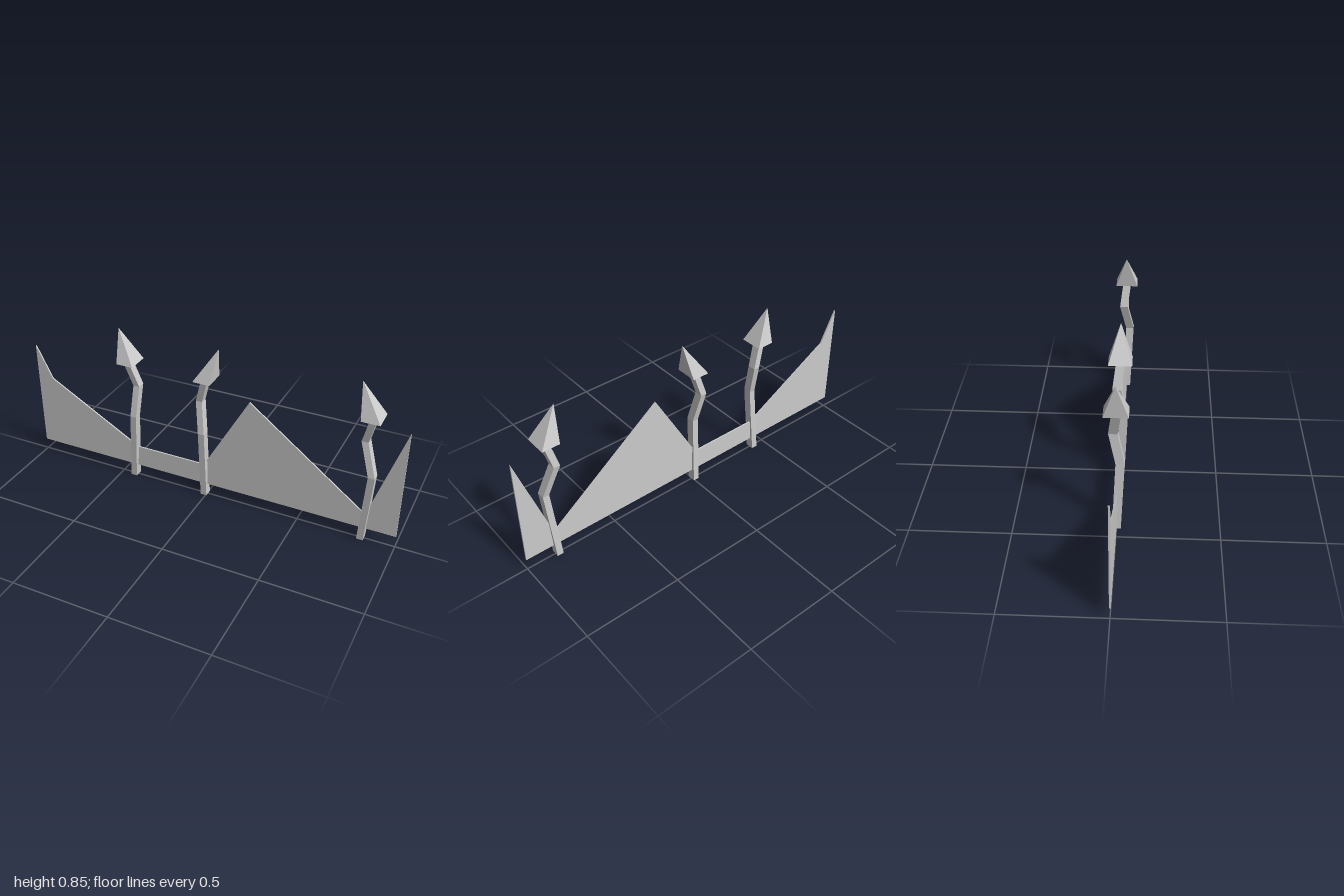
import * as THREE from 'three';

const material = new THREE.MeshStandardMaterial({ color: 0xcccccc, flatShading: true });

// Four-sided loft through sections [x, y, z, halfWidth, halfDepth]; a zero-width last section is a point
function loft(sections) {
  const corners = [[1, 1], [1, -1], [-1, -1], [-1, 1]];
  const positions = [], index = [];
  for (const [x, y, z, w, d] of sections) {
    for (const [sx, sz] of corners) positions.push(x + sx * w, y, z + sz * d);
  }
  const last = sections.length - 1;
  const pointed = sections[last][3] === 0;
  for (let i = 0; i < last; i++) {
    for (let k = 0; k < 4; k++) {
      const a = i * 4 + k, b = i * 4 + (k + 1) % 4;
      index.push(a, b, b + 4);
      if (!(pointed && i === last - 1)) index.push(a, b + 4, a + 4);
    }
  }
  index.push(0, 2, 1, 0, 3, 2);
  const t = last * 4;
  if (!pointed) index.push(t, t + 1, t + 2, t, t + 2, t + 3);
  const indexed = new THREE.BufferGeometry();
  indexed.setAttribute('position', new THREE.Float32BufferAttribute(positions, 3));
  indexed.setIndex(index);
  const geometry = indexed.toNonIndexed();
  geometry.computeVertexNormals();
  return geometry;
}

function addMesh(parent, name, geometry) {
  const mesh = new THREE.Mesh(geometry, material);
  mesh.name = name;
  parent.add(mesh);
}

// Crooked post with a leaning spear head; bends are x positions at the four shaft levels
function createPost(name, bends, headX, tipX) {
  const post = new THREE.Group();
  post.name = name;
  const heights = [0, 0.38, 0.547, 0.672];
  const sways = [0, 0.017, -0.016, 0];
  const w = 0.0165, d = 0.0215;
  addMesh(post, 'shaft', loft(bends.map((x, i) => [x, heights[i], sways[i], w, d])));
  addMesh(post, 'spearHead', loft([
    [bends[3], 0.67, 0, w, d],
    [headX, 0.68, 0, 0.045, 0.058],
    [tipX, 0.853, 0, 0, 0],
  ]));
  return post;
}

export function createModel() {
  const model = new THREE.Group();
  model.name = 'brokenFence';

  // Thin torn panel strung between the posts
  const outline = [
    [-1, 0.062], [1, 0.062], [1, 0.645], [0.838, 0.143], [0.225, 0.607],
    [-0.018, 0.178], [-0.405, 0.178], [-0.912, 0.467], [-1, 0.645],
  ];
  const shape = new THREE.Shape(outline.map(([x, y]) => new THREE.Vector2(x, y)));
  const panel = new THREE.ExtrudeGeometry(shape, { depth: 0.008, bevelEnabled: false });
  panel.translate(0, 0, -0.004);
  addMesh(model, 'tornPanel', panel);

  // Posts
  model.add(
    createPost('rightPost', [-0.427, -0.404, -0.396, -0.437], -0.428, -0.484),
    createPost('middlePost', [-0.011, -0.017, -0.043, -0.009], -0.007, 0.06),
    createPost('leftPost', [0.83, 0.855, 0.799, 0.829], 0.826, 0.758),
  );
  return model;
}
